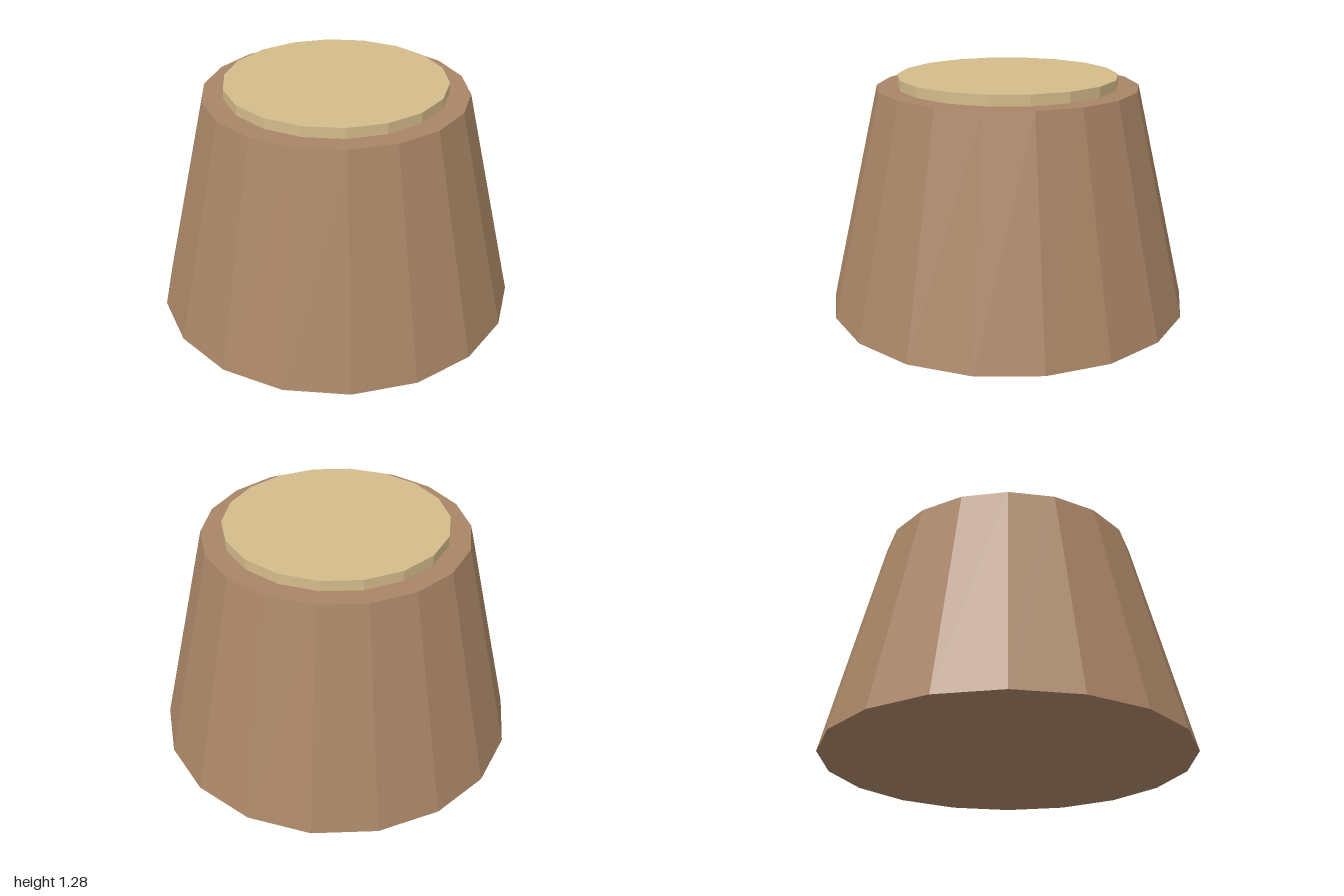
import * as THREE from 'three';

const SIDES = 18;

export function createModel() {
  const group = new THREE.Group();
  group.name = 'stump';

  const bark = new THREE.MeshStandardMaterial({ color: 0xa98566 });
  bark.name = 'bark brown';
  const cutWood = new THREE.MeshStandardMaterial({ color: 0xd4bc8b });
  cutWood.name = 'pale wood';

  // Faceted frustum standing on y0, with corners on the x axis
  function frustum(name, rTop, rBottom, y0, y1, material) {
    const geometry = new THREE.CylinderGeometry(
      rTop, rBottom, y1 - y0, SIDES, 1, false, Math.PI / 2
    ).toNonIndexed();
    geometry.computeVertexNormals(); // one normal per facet
    const mesh = new THREE.Mesh(geometry, material);
    mesh.name = name;
    mesh.position.y = (y0 + y1) / 2;
    group.add(mesh);
  }

  // Tapered trunk and the raised cut disc on top
  frustum('trunk', 0.71, 1, 0, 1.223, bark);
  frustum('cutTop', 0.597, 0.597, 1.223, 1.28, cutWood);

  return group;
}
